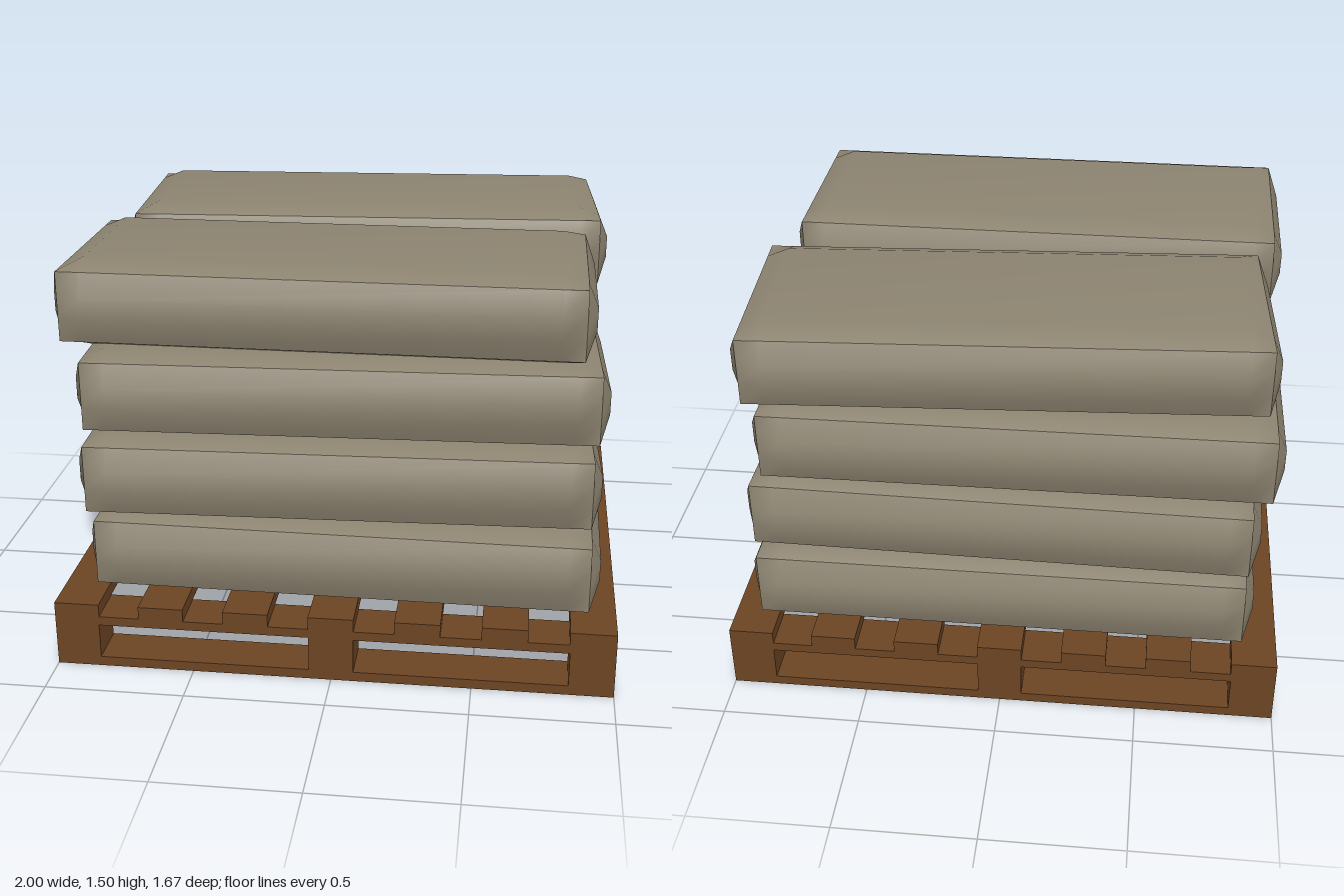
import * as THREE from 'three';

const wood = new THREE.MeshStandardMaterial({ color: 0x6b4423 });
wood.name = 'brownWood';
const cloth = new THREE.MeshStandardMaterial({ color: 0x8c8370 });
cloth.name = 'sackCloth';

// Pillow box: sharp rims at the box edges, every face bulging outwards
function sackGeometry() {
  const rim = [0.88, 0.122, 0.344];
  const inner = [0.8, 0.04, 0.26];
  const bulge = [0.035, 0.0335, 0.033];
  const g = new THREE.BoxGeometry(2, 2, 2, 3, 3, 3);
  const p = g.attributes.position;
  for (let i = 0; i < p.count; i++) {
    const c = [p.getX(i), p.getY(i), p.getZ(i)];
    const onRim = c.map((v) => Math.abs(v) > 0.99);
    const isFaceInterior = onRim.filter(Boolean).length === 1;
    const q = c.map((v, k) => {
      const size = onRim[k] ? rim[k] + (isFaceInterior ? bulge[k] : 0) : inner[k];
      return Math.sign(v) * size;
    });
    p.setXYZ(i, ...q);
  }
  g.computeVertexNormals();
  return g;
}

function buildPallet() {
  const pallet = new THREE.Group();
  pallet.name = 'pallet';
  const board = (name, w, h, d, x, y, z) => {
    const m = new THREE.Mesh(new THREE.BoxGeometry(w, h, d), wood);
    m.name = name;
    m.position.set(x, y, z);
    pallet.add(m);
  };
  // Three skids, each a runner, three blocks and a stringer
  for (const z of [-0.7525, 0, 0.7525]) {
    board('bottomRunner', 2, 0.036, 0.165, 0, 0.018, z);
    board('stringer', 2, 0.034, 0.165, 0, 0.183, z);
    for (const x of [-0.92, 0, 0.92]) board('block', 0.16, 0.13, 0.165, x, 0.101, z);
  }
  // Deck boards across the top
  for (let i = -3; i <= 3; i++) {
    board('deckBoard', 0.162, 0.047, 1.67, i * 0.3063, 0.2235, 0);
  }
  return pallet;
}

export function createModel() {
  const model = new THREE.Group();
  model.name = 'palletOfSacks';
  model.add(buildPallet());

  // Each layer: front and back sack as [x, z, turn]
  const layers = [
    [[0.022, 0.41, -0.01], [0.01, -0.415, 0]],
    [[0, 0.427, 0.035], [0.005, -0.415, -0.015]],
    [[0.01, 0.427, 0.035], [-0.045, -0.42, 0.005]],
    [[-0.042, 0.436, -0.005], [0.005, -0.405, 0.055]],
  ];
  const geometry = sackGeometry();
  layers.forEach((pair, level) => pair.forEach(([x, z, turn], side) => {
    const sack = new THREE.Mesh(geometry, cloth);
    sack.name = (side ? 'backSack' : 'frontSack') + (level + 1);
    sack.position.set(x, 0.414 + level * 0.3102, z);
    sack.rotation.y = turn;
    model.add(sack);
  }));
  return model;
}
